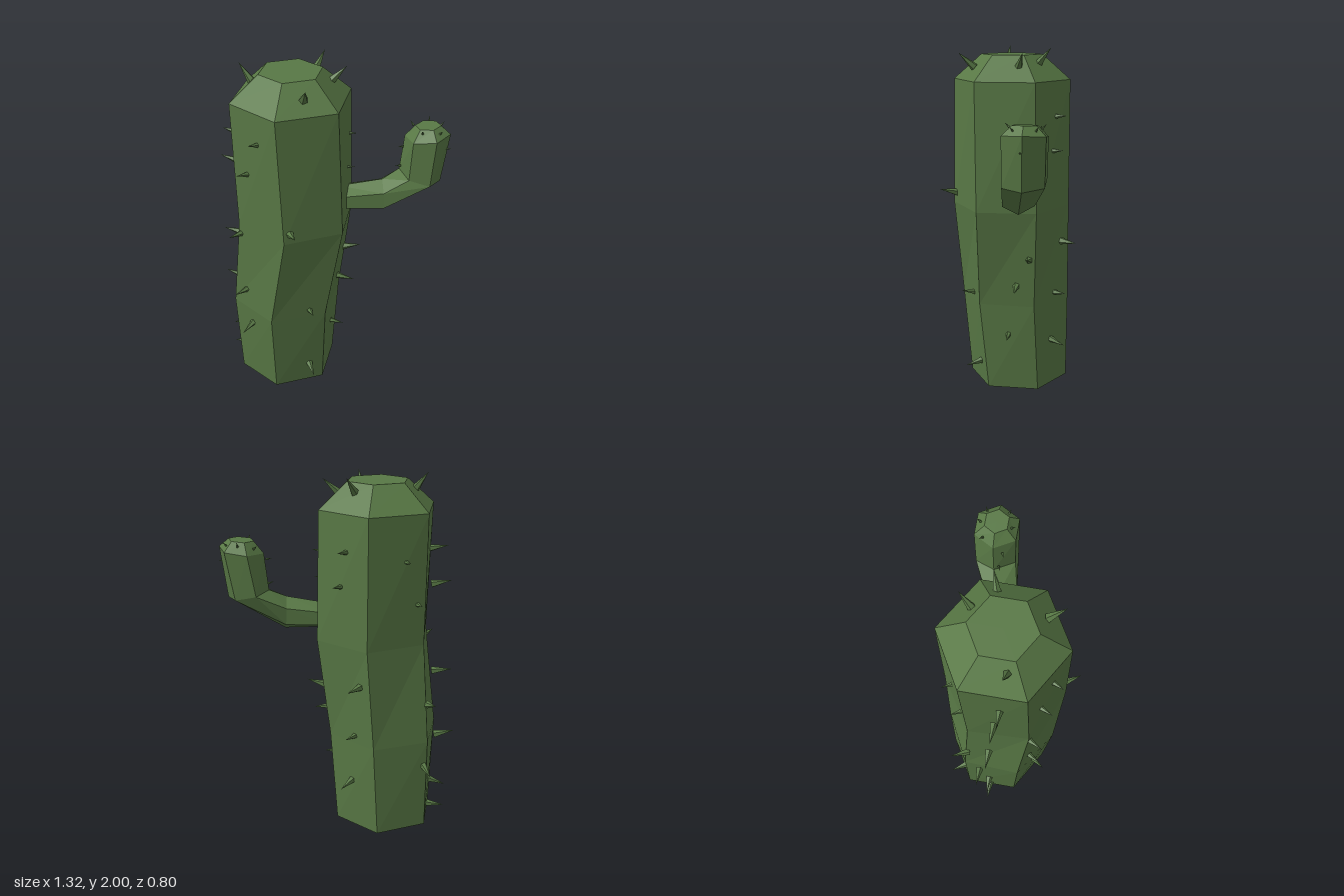
import * as THREE from 'three';

const DEG = Math.PI / 180;
const V = (x, y, z) => new THREE.Vector3(x, y, z);

// Closed six-sided skin through rings of { c: centre, u, v: half axes, phase in degrees }
function loft(rings, mat, name) {
  const n = 6, pos = [];
  const loops = rings.map(({ c, u, v, phase }) =>
    Array.from({ length: n }, (_, i) => {
      const a = (phase + i * 60) * DEG;
      return c.clone().addScaledVector(u, Math.cos(a)).addScaledVector(v, Math.sin(a));
    }));
  const tri = (...pts) => pts.forEach((p) => pos.push(p.x, p.y, p.z));
  for (let k = 0; k < loops.length - 1; k++) {
    const a = loops[k], b = loops[k + 1];
    for (let i = 0; i < n; i++) {
      const j = (i + 1) % n;
      tri(a[i], b[i], a[j]);
      tri(a[j], b[i], b[j]);
    }
  }
  const last = loops.length - 1;
  for (let i = 0; i < n; i++) {
    const j = (i + 1) % n;
    tri(rings[0].c, loops[0][i], loops[0][j]);
    tri(rings[last].c, loops[last][j], loops[last][i]);
  }
  const geo = new THREE.BufferGeometry();
  geo.setAttribute('position', new THREE.Float32BufferAttribute(pos, 3));
  geo.computeVertexNormals();
  const mesh = new THREE.Mesh(geo, mat);
  mesh.name = name;
  return mesh;
}

// Trunk levels: height, centre x, centre z, radius, twist
const TRUNK = [
  [0, -0.248, -0.052, 0.295, 0],
  [0.53, -0.235, -0.03, 0.322, 2.5],
  [1.1, -0.165, -0.014, 0.338, -2.5],
  [1.82, -0.18, -0.015, 0.335, 0],
  [1.96, -0.18, -0.015, 0.175, 0],
];

function trunkAt(y) {
  let k = 0;
  while (k < TRUNK.length - 2 && y > TRUNK[k + 1][0]) k++;
  const a = TRUNK[k], b = TRUNK[k + 1], t = (y - a[0]) / (b[0] - a[0]);
  return a.map((e, i) => e + (b[i] - e) * t);
}

export function createModel() {
  const root = new THREE.Group();
  root.name = 'cactus';
  const green = new THREE.MeshStandardMaterial({ color: 0x587845 });
  green.name = 'cactusGreen';

  root.add(loft(TRUNK.map(([y, x, z, r, twist]) => ({
    c: V(x, y, z), u: V(r, 0, 0), v: V(0, 0, r), phase: 30 + twist,
  })), green, 'trunk'));

  // Side arm bending upward
  root.add(loft([
    { c: V(0.07, 1.21, -0.07), u: V(0, -0.068, 0), v: V(0.01, 0, 0.09), phase: 0 },
    { c: V(0.31, 1.23, -0.12), u: V(0.005, -0.092, 0), v: V(0.025, 0, 0.098), phase: 0 },
    { c: V(0.505, 1.345, -0.175), u: V(0.116, -0.025, 0), v: V(0.015, 0, 0.125), phase: 0 },
    { c: V(0.535, 1.59, -0.18), u: V(0.124, 0.015, 0), v: V(0, 0, 0.13), phase: 0 },
    { c: V(0.535, 1.645, -0.18), u: V(0.07, 0.005, 0), v: V(0, 0, 0.07), phase: 0 },
  ], green, 'arm'));

  const spines = new THREE.Group();
  spines.name = 'spines';
  root.add(spines);
  const cone = new THREE.ConeGeometry(0.2, 1, 5).toNonIndexed();
  cone.translate(0, 0.5, 0);
  cone.computeVertexNormals();
  const spine = (base, dir, length) => {
    const m = new THREE.Mesh(cone, green);
    m.name = 'spine';
    m.position.copy(base);
    m.quaternion.setFromUnitVectors(V(0, 1, 0), dir.clone().normalize());
    m.scale.setScalar(length);
    spines.add(m);
  };

  // Trunk spines per face: facing angle (x towards z), then [height, sideways, tilt, gap]
  const faces = [
    [180, [[0.06, 0.01, -0.05, 0], [0.23, 0.02, -0.3, 0], [0.54, 0.08, 0.3, 0.035],
      [0.905, 0.03, 0.15, 0.04], [1.4, 0, 0.25, 0.035], [1.59, -0.03, 0.2, 0]]],
    [120, [[1.64, -0.03, 0.25, -0.03], [1.44, 0.06, 0.25, -0.02], [1.04, 0.14, 0.1, -0.01],
      [0.655, 0.08, 0.05, -0.02], [0.44, 0.02, -0.4, -0.01]]],
    [60, [[1.16, 0.12, 0.25, 0.01], [0.57, -0.05, 0.2, -0.02], [0.14, -0.06, -0.2, 0]]],
    [0, [[0.82, -0.13, 0.25, 0], [0.66, -0.05, -0.15, 0], [0.355, 0.01, -0.15, -0.02],
      [1.41, -0.03, 0.1, -0.06], [1.58, -0.1, 0.1, -0.06]]],
    [-60, [[1.62, -0.03, 0.1, -0.03], [1.43, 0, 0.1, -0.03], [0.885, -0.1, 0, 0],
      [0.575, -0.02, 0.05, -0.02], [0.29, 0.02, -0.2, 0]]],
    [-120, [[1.57, -0.05, 0.1, -0.04], [1.33, -0.13, 0.1, -0.04], [0.75, -0.17, 0.3, 0],
      [0.39, -0.13, -0.3, 0]]],
  ];
  for (const [deg, list] of faces) {
    const nrm = V(Math.cos(deg * DEG), 0, Math.sin(deg * DEG));
    const side = V(-nrm.z, 0, nrm.x);
    for (const [y, s, tilt, gap] of list) {
      const [, x, z, r] = trunkAt(y);
      const base = V(x, y, z).addScaledVector(nrm, r * 0.866 - 0.012 + gap).addScaledVector(side, s);
      spine(base, nrm.clone().add(V(0, tilt, 0)), 0.115);
    }
  }

  // Crown spines: base, tip
  for (const [b, t] of [
    [[-0.37, 1.9, 0.04], [-0.445, 2, 0.03]],
    [[-0.065, 1.89, 0.18], [-0.035, 1.97, 0.265]],
    [[0.02, 1.895, -0.08], [0.1, 1.975, -0.11]],
    [[-0.09, 1.9, -0.17], [-0.05, 2, -0.25]],
  ]) {
    const base = V(...b), d = V(...t).sub(base);
    spine(base, d, d.length());
  }

  // Small arm spines: base, direction
  for (const [b, d] of [
    [[0.515, 1.63, -0.1], [0, 0.7, 0.7]],
    [[0.6, 1.62, -0.13], [0.6, 0.7, 0.4]],
    [[0.595, 1.62, -0.24], [0.6, 0.7, -0.4]],
    [[0.53, 1.625, -0.265], [0, 0.8, -0.6]],
    [[0.45, 1.61, -0.24], [-0.6, 0.6, -0.4]],
    [[0.635, 1.52, -0.17], [1, 0.1, 0]],
    [[0.415, 1.53, -0.13], [-1, 0.1, 0.4]],
    [[0.4, 1.4, -0.15], [-0.9, 0.2, 0.4]],
  ]) spine(V(...b), V(...d), 0.035);

  return root;
}
